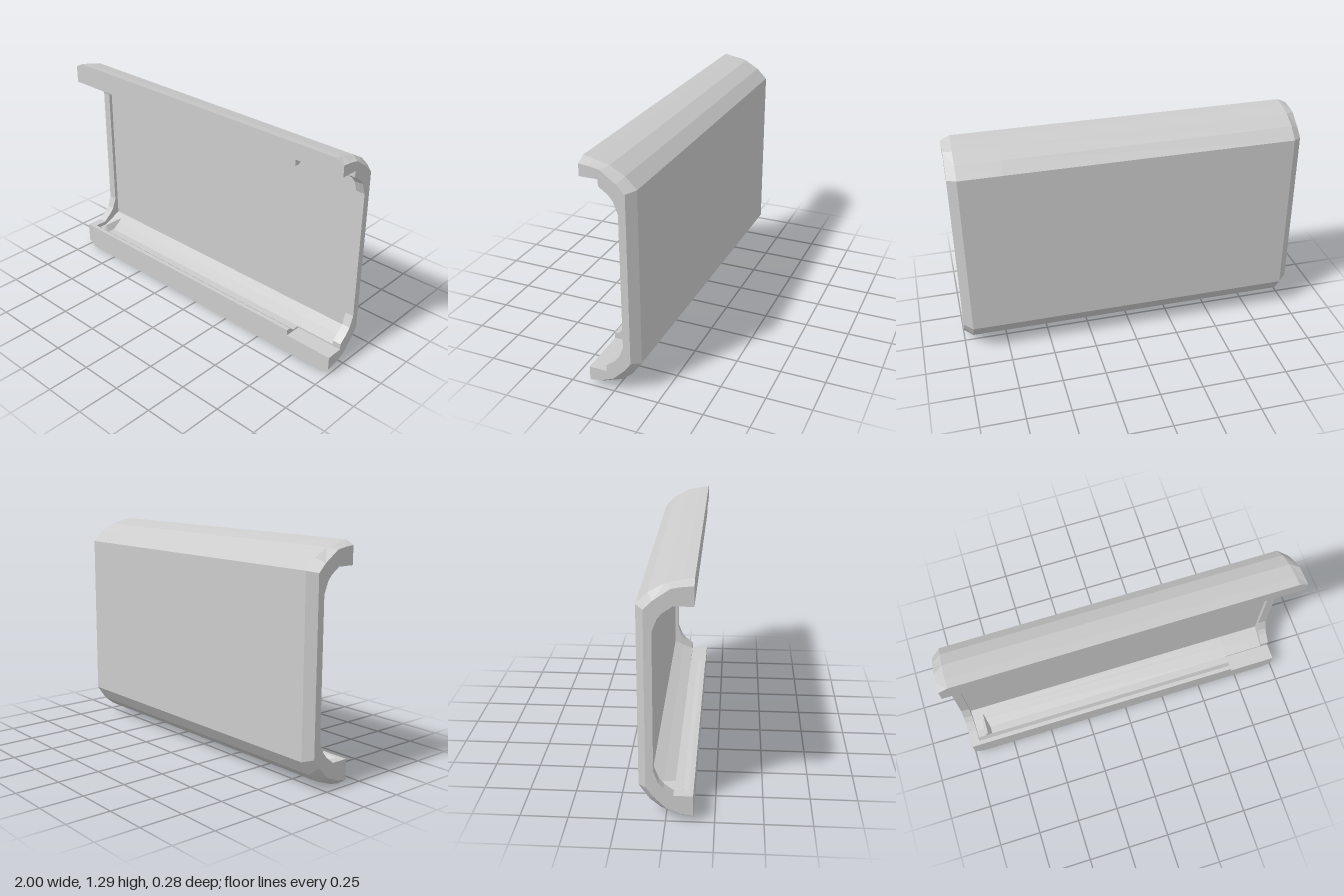
import * as THREE from 'three';

// Cross-section halves as [z, y], listed from the front lip towards the back wall
const outerLow = [[.14, 0], [.08, .01], [-.025, .05], [-.085, .1], [-.14, .18]];
const outerTop = [[.14, 1.29], [.085, 1.28], [0, 1.26], [-.08, 1.215], [-.14, 1.155]];
const insetLow = [[.14, .035], [.08, .045], [.005, .075], [-.065, .145], [-.1, .195]];
const insetTop = [[.14, 1.265], [.085, 1.26], [.03, 1.25], [-.055, 1.19], [-.1, 1.145]];

const rimCurveLow = [[-.01, .19], [-.035, .22], [-.06, .285]];
const rimCurveTop = [[-.01, 1.13], [-.035, 1.1], [-.06, 1.035]];
const cavityCurveLow = [[-.02, .15], [-.05, .165], [-.08, .18]];
const cavityCurveTop = [[-.02, 1.185], [-.05, 1.17], [-.08, 1.155]];

// Lip, end rim and pocket, each plain or with the notch cut through the lip
const lip = (y) => [[.14, y], [.115, y]];
const rim = [
  [...lip(.15), [.085, .15], [.04, .15], ...rimCurveLow],
  [...lip(1.165), [.085, 1.165], [.04, 1.165], ...rimCurveTop]];
const rimNotched = [
  [...lip(.115), [.04, .115], [.04, .15], ...rimCurveLow],
  [...lip(1.2), [.04, 1.2], [.04, 1.165], ...rimCurveTop]];
const cavity = [
  [...lip(.15), [.085, .125], [.04, .125], ...cavityCurveLow],
  [...lip(1.165), [.085, 1.2], [.04, 1.2], ...cavityCurveTop]];
const cavityNotched = [
  [...lip(.115), [.04, .115], [.04, .125], ...cavityCurveLow],
  [...lip(1.2), [.04, 1.2], [.04, 1.2], ...cavityCurveTop]];

// Closed C-shaped loop: up the outside, back down the inside
function section(x, low, top, [innerLow, innerTop]) {
  return [...low, ...[...top].reverse(), ...innerTop, ...[...innerLow].reverse()]
    .map(([z, y]) => new THREE.Vector3(x, y, z));
}

// Skin between successive sections, with both ends closed
function loft(sections) {
  const pos = [];
  const tri = (...pts) => {
    const area = pts[1].clone().sub(pts[0]).cross(pts[2].clone().sub(pts[0])).length();
    if (area > 1e-9) pts.forEach((p) => pos.push(p.x, p.y, p.z));
  };
  for (let s = 0; s < sections.length - 1; s++) {
    const a = sections[s], b = sections[s + 1];
    for (let i = 0; i < a.length; i++) {
      const j = (i + 1) % a.length;
      tri(a[i], a[j], b[j]);
      tri(a[i], b[j], b[i]);
    }
  }
  for (const ring of [sections[0], sections[sections.length - 1]]) {
    const flat = ring.map((p) => new THREE.Vector2(p.z, p.y));
    for (const [i, j, k] of THREE.ShapeUtils.triangulateShape(flat, [])) {
      const ccw = THREE.ShapeUtils.area([flat[i], flat[j], flat[k]]) > 0;
      if (ccw === ring[0].x < 0) tri(ring[i], ring[j], ring[k]);
      else tri(ring[i], ring[k], ring[j]);
    }
  }
  const geo = new THREE.BufferGeometry();
  geo.setAttribute('position', new THREE.Float32BufferAttribute(pos, 3));
  geo.computeVertexNormals();
  return geo;
}

export function createModel() {
  const group = new THREE.Group();
  group.name = 'protectiveSleeve';
  const material = new THREE.MeshStandardMaterial({ color: 0xcccccc, flatShading: true });

  // Open-fronted shell with chamfered ends, raised end rims and a notched lip
  const shell = new THREE.Mesh(loft([
    section(-1, insetLow, insetTop, rim),
    section(-.95, outerLow, outerTop, rim),
    section(-.95, outerLow, outerTop, cavity),
    section(.71, outerLow, outerTop, cavity),
    section(.71, outerLow, outerTop, cavityNotched),
    section(.95, outerLow, outerTop, cavityNotched),
    section(.95, outerLow, outerTop, rimNotched),
    section(1, insetLow, insetTop, rimNotched),
  ]), material);
  shell.name = 'shell';
  group.add(shell);

  // Small locating ridge across the pocket floor
  const ridgeShape = new THREE.Shape([
    new THREE.Vector2(-.91, .12), new THREE.Vector2(-.86, .12), new THREE.Vector2(-.885, .165)]);
  const ridge = new THREE.Mesh(
    new THREE.ExtrudeGeometry(ridgeShape, { depth: .125, bevelEnabled: false }), material);
  ridge.position.z = -.04;
  ridge.name = 'locatingRidge';
  group.add(ridge);

  return group;
}
